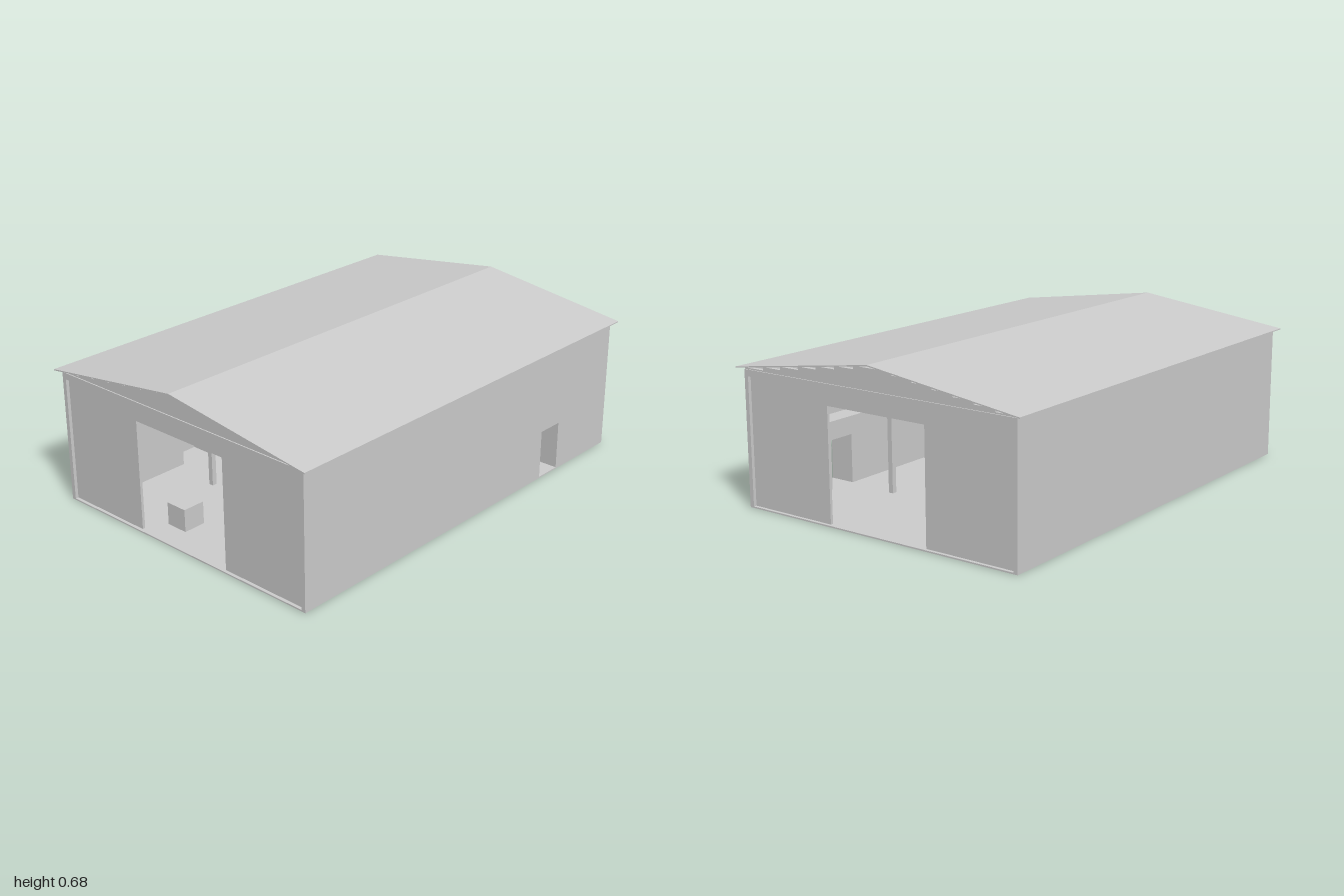
import * as THREE from 'three';

const grey = new THREE.MeshStandardMaterial({ color: 0xcccccc });
grey.name = 'light grey';

const W = 0.674;      // half width outside the side walls
const T = 0.019;      // wall thickness
const L = 0.978;      // half length
const H = 0.577;      // eave height
const FLOOR = 0.006;

export function createModel() {
  const model = new THREE.Group();
  model.name = 'warehouse';

  const add = (name, geometry, parent = model) => {
    const mesh = new THREE.Mesh(geometry, grey);
    mesh.name = name;
    parent.add(mesh);
    return mesh;
  };
  // Box given by its minimum and maximum corners
  const box = (name, x0, x1, y0, y1, z0, z1) =>
    add(name, new THREE.BoxGeometry(x1 - x0, y1 - y0, z1 - z0)
      .translate((x0 + x1) / 2, (y0 + y1) / 2, (z0 + z1) / 2));
  const extrude = (points, depth) => new THREE.ExtrudeGeometry(
    new THREE.Shape(points.map(([x, y]) => new THREE.Vector2(x, y))),
    { depth, bevelEnabled: false });
  // Upright wall outline with a doorway cut from its foot
  const wallWithDoor = (half, height, d0, d1, doorHeight, depth) => extrude([
    [-half, FLOOR], [d0, FLOOR], [d0, doorHeight], [d1, doorHeight],
    [d1, FLOOR], [half, FLOOR], [half, height], [-half, height],
  ], depth);

  box('floorSlab', -W, W, 0, FLOOR, -L, L);

  // Roof: a thin folded sheet overhanging all sides
  const eave = 0.585, ridge = 0.683, t = 0.005;
  add('roof', extrude([
    [-0.7, eave - t + 0.003], [0, ridge - t], [0.7, eave - t + 0.003],
    [0.7, eave + 0.003], [0, ridge], [-0.7, eave + 0.003],
  ], 2).translate(0, 0, -1));

  // Side walls, the left one with a small door
  box('rightSideWall', -W, -W + T, FLOOR, H, -L, L);
  add('leftSideWall', wallWithDoor(L, H, 0.49, 0.615, 0.22, T)
    .rotateY(Math.PI / 2).translate(W - T, 0, 0));

  // Thick inner lining along both sides
  add('leftLining', wallWithDoor(0.955, 0.3, 0.49, 0.615, 0.22, 0.095)
    .rotateY(Math.PI / 2).translate(0.56, 0, 0));
  box('rightLiningBack', -W + T, -0.56, FLOOR, 0.3, -0.955, 0.305);
  box('rightLiningFront', -W + T, -0.56, FLOOR, 0.3, 0.455, 0.955);

  // Stepped gable outline
  const right = [];
  for (let k = 0; k < 7; k++) {
    const top = 0.664 - 0.0135 * k;
    const x = k === 6 ? W : 0.094 + 0.096 * k;
    if (k > 0) right.push([0.094 + 0.096 * (k - 1), top]);
    else right.push([0, top]);
    right.push([x, top]);
  }
  right.push([W, H]);
  const left = right.slice(1).reverse().map(([x, y]) => [-x, y]);
  const gableOutline = [...left, ...right];

  // Ends: recessed wall with a wide doorway, header beam and gable
  for (const [name, angle] of [['front', 0], ['back', Math.PI]]) {
    const end = new THREE.Group();
    end.name = name + 'End';
    end.rotation.y = angle;
    model.add(end);
    add('endWall', wallWithDoor(W - T, H, -0.242, 0.242, 0.485, 0.012)
      .translate(0, 0, 0.952), end);
    add('headerBeam', new THREE.BoxGeometry(2 * (W - T), 0.028, 0.014)
      .translate(0, H - 0.014, L - 0.007), end);
    add('gable', extrude(gableOutline, 0.018).translate(0, 0, 0.955), end);
  }

  // Inner posts carrying a cross beam
  for (const z of [-0.5, 0.5]) {
    box('crossBeam', -W + T, W - T, 0.555, 0.58, z - 0.01, z + 0.01);
    for (const x of [-0.325, 0.325])
      box('post', x - 0.011, x + 0.011, FLOOR, 0.555, z - 0.011, z + 0.011);
  }

  box('crate', -0.197, -0.096, FLOOR, 0.105, 0.765, 0.866);
  return model;
}
